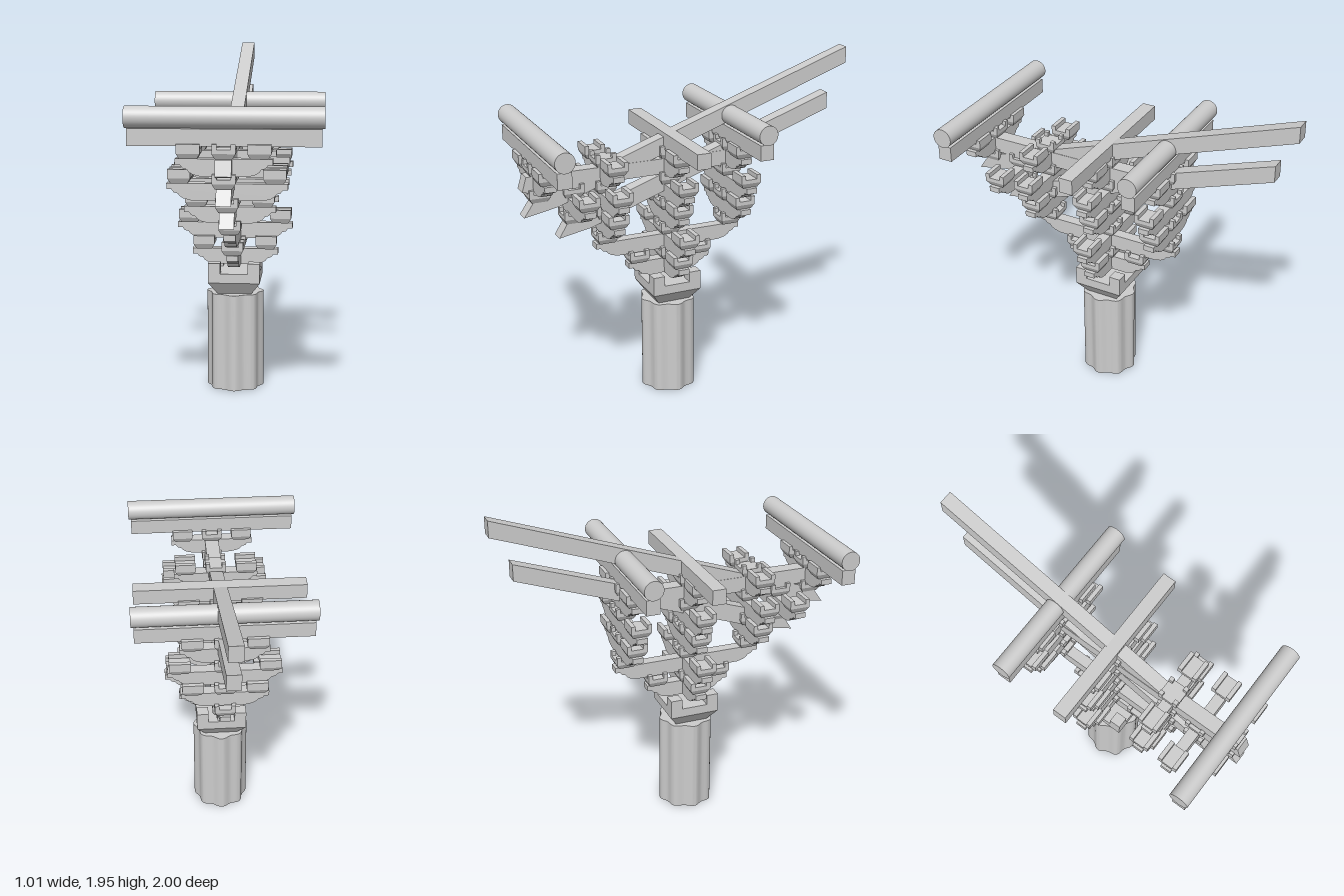
import * as THREE from 'three';
import { mergeGeometries, toCreasedNormals } from 'three/addons/utils/BufferGeometryUtils.js';

const timber = new THREE.MeshStandardMaterial({ color: 0xcccccc });
timber.name = 'timber grey';

const CZ = 0.134;                           // column axis
const ROWS = [CZ + 0.385, CZ, CZ - 0.385];  // rows of cross arms
const armY = i => 0.72 + 0.152 * i;         // underside of each tier
const ARM_H = 0.09;

export function createModel() {
  const model = new THREE.Group();
  model.name = 'bracketSet';

  const add = (name, geo, x = 0, y = 0, z = 0) => {
    const m = new THREE.Mesh(geo, timber);
    m.name = name;
    m.position.set(x, y, z);
    model.add(m);
    return m;
  };

  // Extrude a side outline, centred on its thickness; alongZ turns it front to back
  const plank = (points, thick, alongZ) => {
    const shape = new THREE.Shape(points.map(p => new THREE.Vector2(...p)));
    const g = new THREE.ExtrudeGeometry(shape, { depth: thick, bevelEnabled: false });
    g.translate(0, 0, -thick / 2);
    if (alongZ) g.rotateY(-Math.PI / 2);
    return g;
  };

  // Bearing block: tapered foot, solid body, and corner posts or side walls around the slot
  const blockGeo = (foot, half, slot, y1, y2, y3, cross) => {
    const taper = new THREE.CylinderGeometry(half * Math.SQRT2, foot * Math.SQRT2, y1, 4);
    taper.rotateY(Math.PI / 4);
    taper.translate(0, y1 / 2, 0);
    const parts = [toCreasedNormals(taper, 0.3)];
    const box = (w, h, d, x, y, z) => {
      const b = new THREE.BoxGeometry(w, h, d).toNonIndexed();
      b.translate(x, y, z);
      parts.push(b);
    };
    box(half * 2, y2 - y1, half * 2, 0, (y1 + y2) / 2, 0);
    const w = half - slot, c = (half + slot) / 2, h = y3 - y2, y = (y2 + y3) / 2;
    for (const s of [-1, 1]) {
      if (cross) for (const t of [-1, 1]) box(w, h, w, s * c, y, t * c);
      else box(half * 2, h, w, 0, y, s * c);
    }
    return mergeGeometries(parts);
  };

  // Lobed column
  const lobes = [];
  for (let i = 0; i < 128; i++) {
    const a = i / 128 * Math.PI * 2, r = 0.154 + 0.009 * Math.cos(8 * a);
    lobes.push(new THREE.Vector2(Math.cos(a) * r, Math.sin(a) * r));
  }
  const col = new THREE.ExtrudeGeometry(new THREE.Shape(lobes), { depth: 0.56, bevelEnabled: false });
  col.rotateX(-Math.PI / 2);
  add('column', toCreasedNormals(col, 0.6), 0, 0, CZ);

  // Large cap block
  add('capBlock', blockGeo(0.098, 0.147, 0.078, 0.07, 0.123, 0.183, true), 0, 0.56, CZ);

  const endBlock = blockGeo(0.045, 0.06, 0.035, 0.028, 0.05, 0.076, false);
  const crossBlock = blockGeo(0.045, 0.06, 0.035, 0.028, 0.05, 0.076, true);

  // Bracket arm with stepped, curved-up ends
  const armGeo = (h, alongZ) => {
    const right = [[h - 0.13, 0], [h - 0.09, 0.01], [h - 0.07, 0.022], [h - 0.06, 0.036],
      [h - 0.038, 0.042], [h - 0.026, 0.058], [h, 0.058], [h, ARM_H]];
    const left = right.map(([x, y]) => [-x, y]).reverse();
    return plank([...right, ...left], 0.064, alongZ);
  };

  // Side-to-side arm with blocks on its ends and middle
  const crossArm = (tier, half, z) => {
    const y = armY(tier), top = y + ARM_H;
    add('crossArm', armGeo(half, false), 0, y, z);
    for (const s of [-1, 1]) add('endBlock', endBlock, s * (half - 0.068), top, z);
    add('centreBlock', crossBlock, 0, top, z);
  };
  crossArm(0, 0.245, CZ);
  crossArm(1, 0.328, CZ);
  for (const z of ROWS) {
    crossArm(2, 0.248, z);
    crossArm(3, 0.318, z);
    crossArm(4, 0.248, z);
  }
  crossArm(3, 0.318, 0.71);
  crossArm(4, 0.248, 0.905);

  // Front-to-back arms with blocks near their ends
  [[0, 0.252, 0.194], [1, 0.447, 0.385]].forEach(([tier, half, at]) => {
    add('lengthArm', armGeo(half, true), 0, armY(tier), CZ);
    for (const s of [-1, 1]) add('armBlock', crossBlock, 0, armY(tier) + ARM_H, CZ + s * at);
  });

  // Blocks seated on the slanting levers
  add('leverBlock', crossBlock, 0, armY(3) - 0.062, 0.71);
  add('leverBlock', crossBlock, 0, armY(4) - 0.062, 0.905);

  // Slanting lever beams with beaked front tips (z, y outlines)
  add('upperLever', plank([[-1, 1.855], [0.8, 1.222], [0.995, 1.185], [0.93, 1.28], [-1, 1.95]].reverse(), 0.079, true));
  add('lowerLever', plank([[-0.882, 1.592], [0.603, 1.072], [0.8, 1.035], [0.737, 1.137], [-0.882, 1.689]].reverse(), 0.079, true));

  // Level beam with a cut nose
  add('noseBeam', plank([[-0.275, 1.33], [0.96, 1.325], [1, 1.335], [0.975, 1.418], [-0.275, 1.418]], 0.084, true));

  // Square beams and round purlins on top
  for (const z of [0.905, 0.127, -0.25])
    add('topBeam', new THREE.BoxGeometry(0.985, 0.088, 0.08), 0, 1.526, z);
  for (const z of [0.905, -0.25])
    add('purlin', new THREE.CylinderGeometry(0.056, 0.056, 1.014, 40), 0, 1.625, z).rotation.z = Math.PI / 2;

  return model;
}
